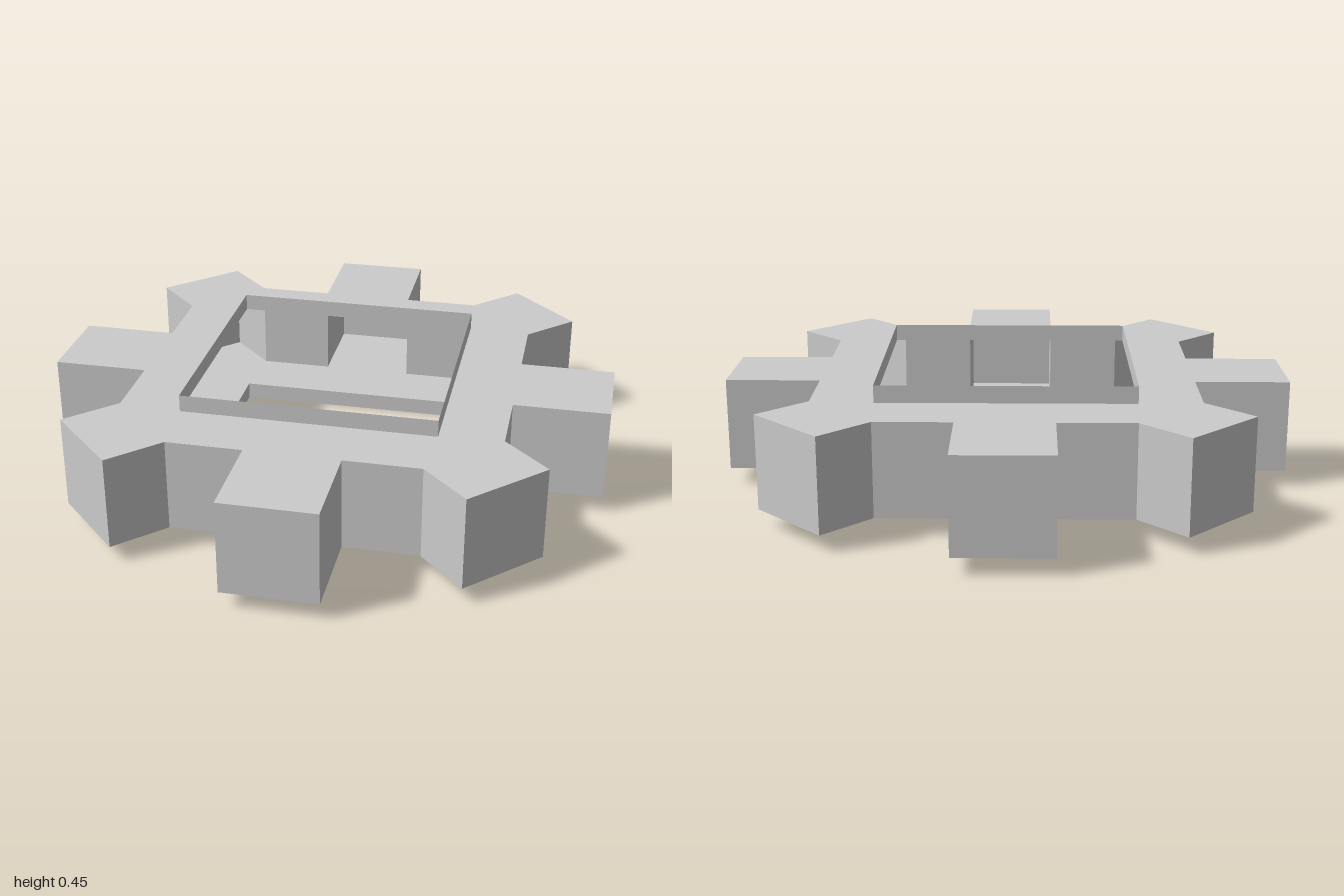
import * as THREE from 'three';

const BOTTOM = 0.06, TOP = 0.39, HEIGHT = 0.45, HOLE = 0.445;

// Closed flat-shaded band of wall following a loop of [x, z] points
function wall(points, y0, y1) {
  const pos = [];
  points.forEach(([ax, az], i) => {
    const [bx, bz] = points[(i + 1) % points.length];
    pos.push(ax, y0, az, ax, y1, az, bx, y1, bz);
    pos.push(ax, y0, az, bx, y1, bz, bx, y0, bz);
  });
  const geometry = new THREE.BufferGeometry();
  geometry.setAttribute('position', new THREE.Float32BufferAttribute(pos, 3));
  geometry.computeVertexNormals();
  return geometry;
}

// Repeat a quarter of an outline around the y axis
function fourfold(quarter) {
  const points = [];
  let part = quarter;
  for (let i = 0; i < 4; i++) {
    points.push(...part);
    part = part.map(([x, z]) => [-z, x]);
  }
  return points;
}

export function createModel() {
  const model = new THREE.Group();
  const material = new THREE.MeshStandardMaterial({ color: 0xcccccc, flatShading: true, side: THREE.DoubleSide });
  const add = (name, geometry) => {
    const mesh = new THREE.Mesh(geometry, material);
    mesh.name = name;
    model.add(mesh);
    return mesh;
  };

  // One straight tooth and one diagonal tooth per quarter
  const gear = fourfold([
    [1, -0.165], [1, 0.165], [0.665, 0.165], [0.665, 0.43],
    [0.823, 0.587], [0.587, 0.823], [0.43, 0.665], [0.165, 0.665],
  ]);
  const hole = fourfold([[HOLE, HOLE]]);

  // Hollow toothed shell: outer wall, then top and bottom plates with a square opening
  add('toothedWall', wall(gear, BOTTOM, TOP));
  const toPoints = (loop) => loop.map(([x, z]) => new THREE.Vector2(x, -z));
  const shape = new THREE.Shape(toPoints(gear));
  shape.holes.push(new THREE.Path(toPoints(hole)));
  add('topPlate', new THREE.ShapeGeometry(shape).rotateX(-Math.PI / 2).translate(0, TOP, 0));
  add('bottomPlate', new THREE.ShapeGeometry(shape).rotateX(Math.PI / 2).translate(0, BOTTOM, 0));

  // Thin collars standing around both openings
  add('topCollar', wall(hole, TOP, HEIGHT));
  add('bottomCollar', wall(hole, 0, BOTTOM));

  return model;
}
